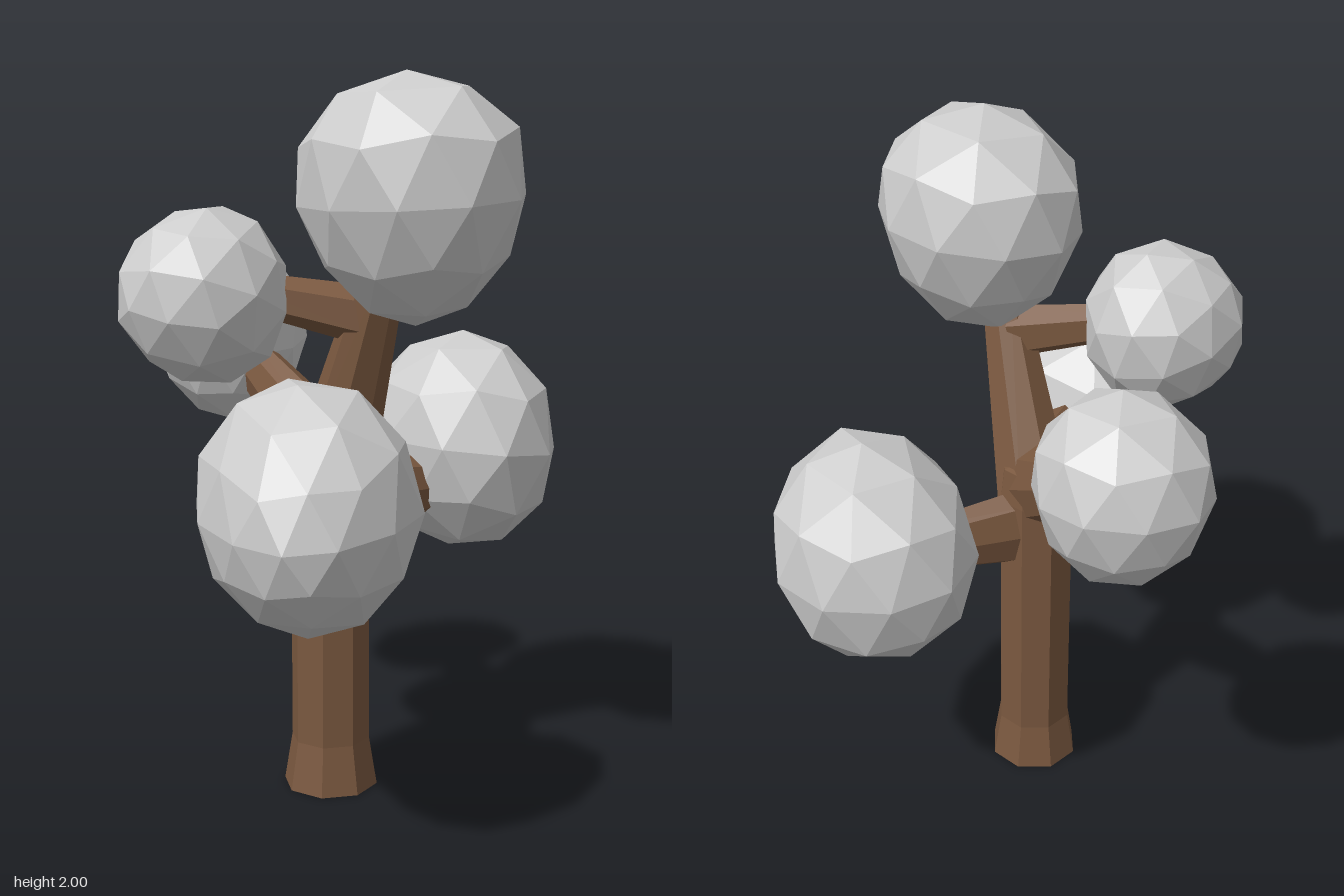
import * as THREE from 'three';
import { mergeVertices } from 'three/addons/utils/BufferGeometryUtils.js';

const bark = new THREE.MeshStandardMaterial({ color: 0x7a583f, flatShading: true });
const leaf = new THREE.MeshStandardMaterial({ color: 0xcccccc, flatShading: true });

// Tapered limb between two points; width scales its horizontal thickness
function limb(name, from, to, r0, r1, width, sides = 8) {
  const a = new THREE.Vector3(...from), b = new THREE.Vector3(...to);
  const dir = b.clone().sub(a);
  const geo = new THREE.CylinderGeometry(r1, r0, dir.length(), sides);
  geo.scale(width, 1, 1);
  const y = dir.normalize();
  const x = y.clone().cross(new THREE.Vector3(0, 1, 0)).normalize();
  const z = x.clone().cross(y);
  geo.applyMatrix4(new THREE.Matrix4().makeBasis(x, y, z));
  const mesh = new THREE.Mesh(geo, bark);
  mesh.name = name;
  mesh.position.copy(a).add(b).multiplyScalar(0.5);
  return mesh;
}

// Faceted leaf ball, turned, narrowed towards a direction, fitted to a box
function foliage(name, min, max, turn, towards, amount) {
  let geo = new THREE.IcosahedronGeometry(1, 1);
  geo.deleteAttribute('normal');
  geo.deleteAttribute('uv');
  geo = mergeVertices(geo, 1e-3);
  geo.applyMatrix4(new THREE.Matrix4().makeRotationFromEuler(new THREE.Euler(...turn)));
  const d = new THREE.Vector3(...towards).normalize();
  const pos = geo.attributes.position, v = new THREE.Vector3();
  for (let i = 0; i < pos.count; i++) {
    v.fromBufferAttribute(pos, i);
    const t = v.dot(d);
    v.addScaledVector(d, -t).multiplyScalar(1 - amount * t).addScaledVector(d, t);
    pos.setXYZ(i, v.x, v.y, v.z);
  }
  geo.center();
  const lo = new THREE.Vector3(...min), hi = new THREE.Vector3(...max);
  geo.computeBoundingBox();
  const s = hi.clone().sub(lo).divide(geo.boundingBox.getSize(new THREE.Vector3()));
  geo.scale(s.x, s.y, s.z);
  geo.computeVertexNormals();
  const mesh = new THREE.Mesh(geo, leaf);
  mesh.name = name;
  mesh.position.copy(lo).add(hi).multiplyScalar(0.5);
  return mesh;
}

export function createModel() {
  const tree = new THREE.Group();
  tree.name = 'tree';

  // Octagonal trunk with a flared foot
  const profile = [[0, 0], [0.135, 0], [0.112, 0.14], [0.112, 0.93], [0.1, 1.03], [0, 1.06]];
  const trunk = new THREE.Mesh(
    new THREE.LatheGeometry(profile.map(p => new THREE.Vector2(...p)), 8), bark);
  trunk.name = 'trunk';
  trunk.position.set(-0.105, 0, 0.047);
  tree.add(trunk);

  // Limbs
  tree.add(
    limb('mainLimb', [-0.107, 0.92, 0.06], [-0.1, 1.5, 0.29], 0.118, 0.062, 1),
    limb('leftBranch', [-0.1, 0.835, 0.04], [0.38, 0.835, 0.05], 0.13, 0.065, 0.58),
    limb('frontBranch', [-0.11, 0.98, 0.06], [-0.42, 0.96, 0.42], 0.115, 0.08, 0.75),
    limb('backBranch', [-0.1, 0.96, 0.05], [-0.095, 1.22, -0.45], 0.125, 0.066, 0.75),
    limb('upperBranch', [-0.11, 1.37, 0.23], [-0.4, 1.44, 0.02], 0.08, 0.05, 0.9, 6),
  );

  // Leaf balls
  const upright = -1.017;
  tree.add(
    foliage('topFoliage', [-0.335, 1.35, 0.02], [0.225, 2.0, 0.67],
      [upright, 0, 0.12], [0, -1, 0.1], 0.17),
    foliage('leftFoliage', [0.15, 0.61, -0.365], [0.71, 1.265, 0.28],
      [upright, 0.1, 0], [-1, 0, -1], 0.08),
    foliage('frontFoliage', [-0.71, 0.61, 0.14], [-0.185, 1.25, 0.75],
      [upright, 0, 0.1], [-1, -0.2, 1], 0.3),
    foliage('upperFoliage', [-0.7, 1.195, -0.225], [-0.24, 1.655, 0.225],
      [0.2, 0.7, 0.1], [-1, 0, -0.3], 0.08),
    foliage('backFoliage', [-0.32, 0.98, -0.755], [0.145, 1.51, -0.28],
      [upright + 0.1, 0, 0.1], [0, -1, 0.3], 0.15),
  );
  return tree;
}
